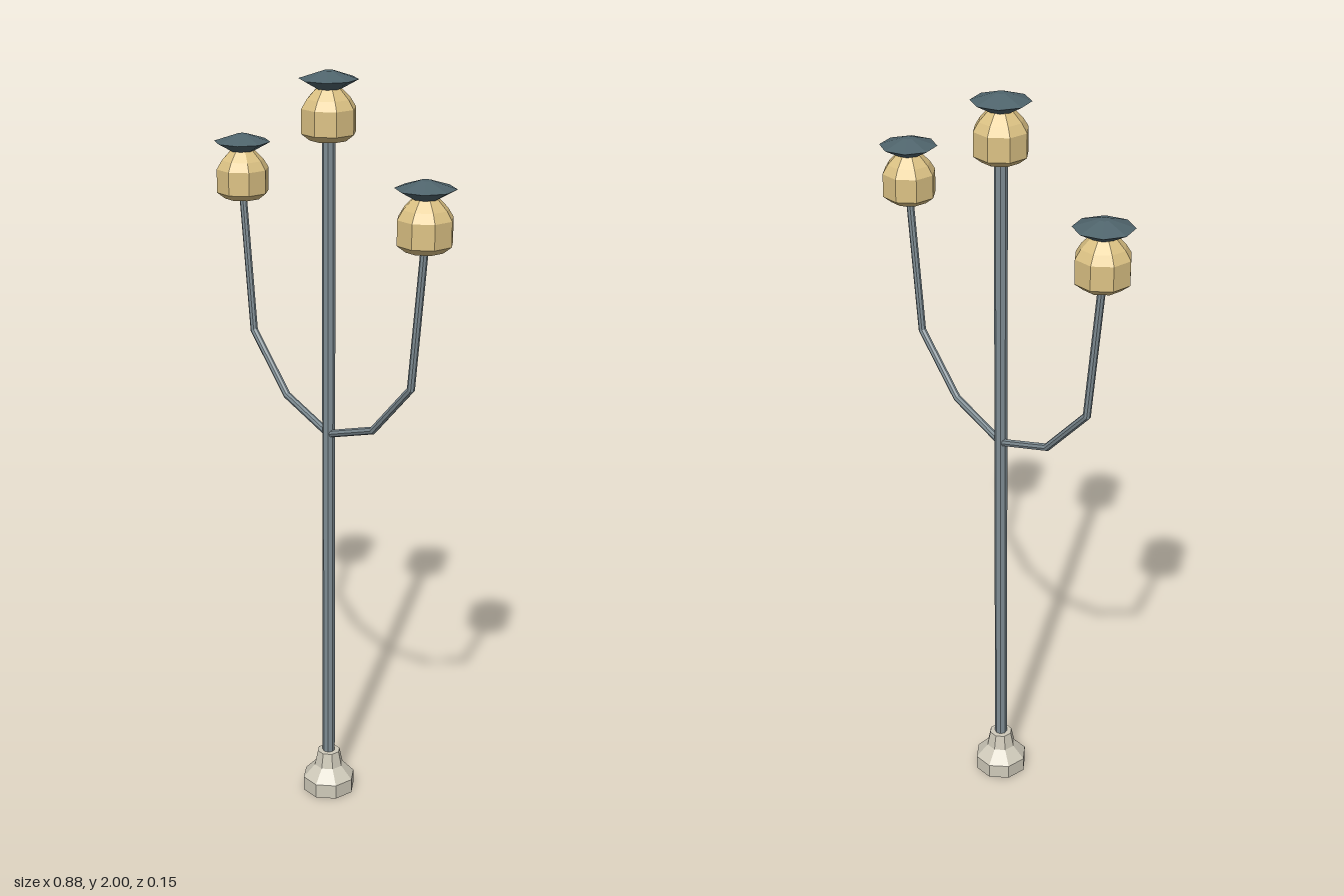
import * as THREE from 'three';

const SIDES = 8;
const mat = (name, color) => {
  const m = new THREE.MeshStandardMaterial({ color, flatShading: true });
  m.name = name;
  return m;
};

function part(name, geometry, material) {
  const mesh = new THREE.Mesh(geometry, material);
  mesh.name = name;
  return mesh;
}

// Eight-sided turned solid; half widths are measured across the flats when turned
function turned(profile, flatFront) {
  const k = flatFront ? 1 / Math.cos(Math.PI / SIDES) : 1;
  const points = profile.map(([r, y]) => new THREE.Vector2(r * k, y));
  return new THREE.LatheGeometry(points, SIDES, flatFront ? Math.PI / SIDES : 0);
}

// Cylinder whose rings are moved onto a bent path in the xy plane, with mitred bends
function bentBar(path, radius) {
  const pts = path.map(([x, y]) => new THREE.Vector2(x, y));
  const n = pts.length - 1;
  const dirs = pts.slice(1).map((p, i) => p.clone().sub(pts[i]).normalize());
  const geo = new THREE.CylinderGeometry(radius, radius, 1, SIDES, n);
  const pos = geo.attributes.position;
  for (let v = 0; v < pos.count; v++) {
    const i = Math.round((pos.getY(v) + 0.5) * n);
    const a = dirs[Math.max(i - 1, 0)];
    const t = a.clone().add(dirs[Math.min(i, n - 1)]).normalize();
    const off = pos.getX(v) / t.dot(a);
    pos.setXY(v, pts[i].x + t.y * off, pts[i].y - t.x * off);
  }
  geo.computeVertexNormals();
  return geo;
}

export function createModel() {
  const metal = mat('grey metal', 0x7f8d94);
  const capMetal = mat('dark slate metal', 0x4f646c);
  const glass = mat('warm glass', 0xdcc284);
  const stone = mat('pale stone', 0xcfcaba);

  const model = new THREE.Group();
  model.name = 'streetLamp';

  // Foot and pole
  model.add(part('base', turned([
    [0, 0], [0.067, 0], [0.067, 0.04], [0.037, 0.075], [0.029, 0.117], [0, 0.117],
  ], true), stone));
  const pole = part('pole', new THREE.CylinderGeometry(0.017, 0.017, 1.75, SIDES), metal);
  pole.position.y = 0.975;
  model.add(pole);

  // Lantern with its saucer-shaped cap; y = 0 is the underside
  const lanternGeo = turned([
    [0, 0], [0.045, 0], [0.065, 0.017], [0.065, 0.079],
    [0.052, 0.102], [0.03, 0.127], [0, 0.127],
  ], true);
  const capGeo = turned([
    [0, 0.122], [0.024, 0.122], [0.075, 0.15], [0.014, 0.17], [0, 0.17],
  ], false);
  function addLamp(name, x, y) {
    const lamp = new THREE.Group();
    lamp.name = name;
    lamp.add(part('lantern', lanternGeo, glass), part('cap', capGeo, capMetal));
    lamp.position.set(x, y, 0);
    model.add(lamp);
  }
  addLamp('centreLamp', 0, 1.83);

  // Side arms, mirrored
  for (const [side, s] of [['left', 1], ['right', -1]]) {
    const path = [[0, 1.055], [0.18 * s, 1.115], [0.325 * s, 1.263], [0.367 * s, 1.63]];
    model.add(part(side + 'Arm', bentBar(path, 0.01), metal));
    addLamp(side + 'Lamp', 0.367 * s, 1.62);
  }
  return model;
}
